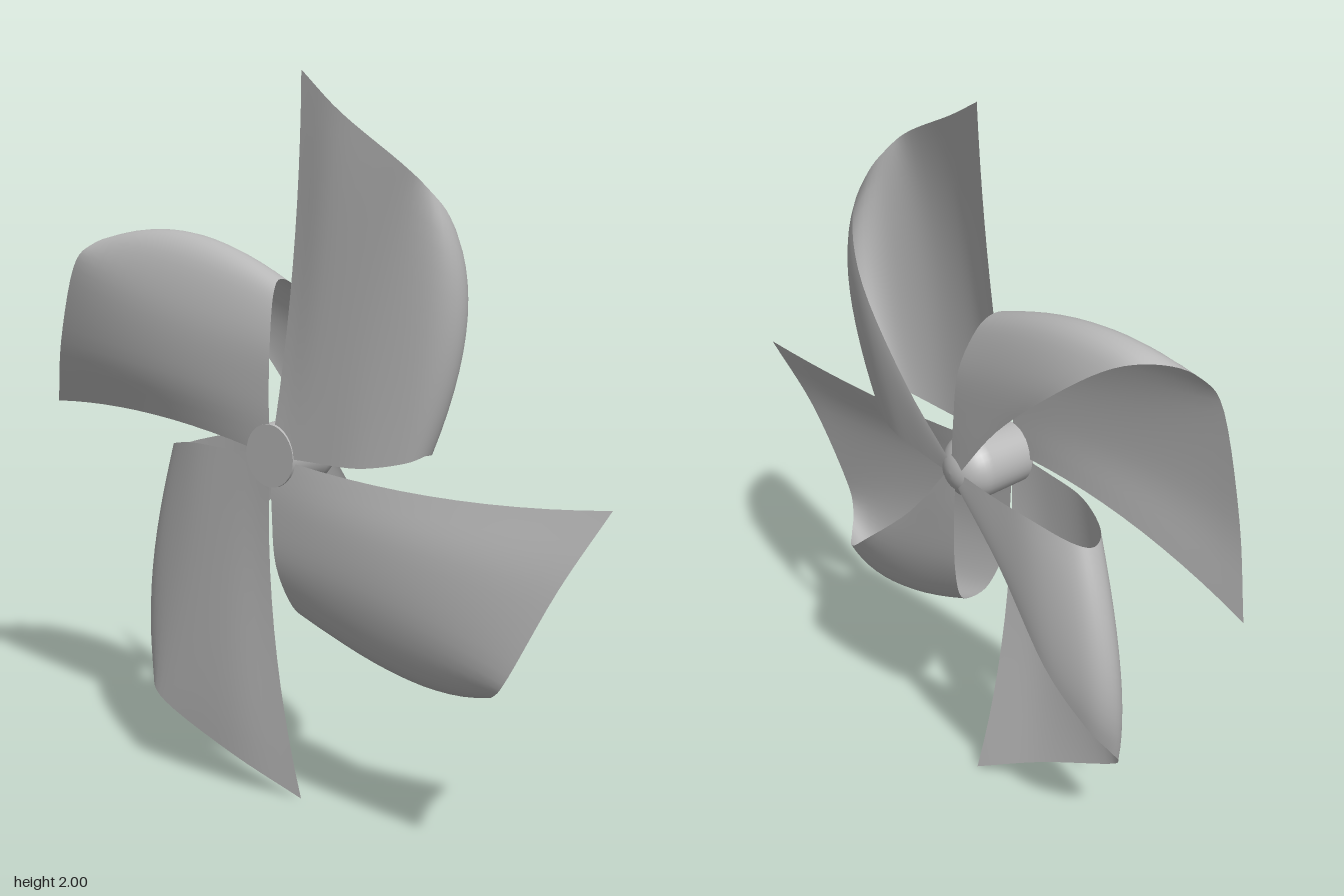
import * as THREE from 'three';

// Guide curves of one curled sheet, [x, y, z] from the hub, following the roll
// from its front edge, round the fold and back to the hub.
const INNER = [[0, 0, .1], [.15, .005, .1], [.3, .01, .09], [.42, .035, .05], [.455, .055, 0],
  [.42, .04, -.05], [.3, .01, -.09], [.15, 0, -.1], [0, -.01, -.1]];
const MIDDLE = [[.035, .5, .05], [.18, .5, .088], [.36, .47, .095], [.5, .43, .06], [.55, .4, 0],
  [.51, .34, -.065], [.37, .25, -.105], [.18, .11, -.107], [0, .005, -.102]];
const OUTER = [[0, 1, -.02], [.2, .9, .05], [.43, .79, .09], [.5, .73, .07], [.525, .66, .015],
  [.5, .56, -.055], [.39, .41, -.105], [.2, .19, -.107], [0, .02, -.102]];

const curve = pts => new THREE.CatmullRomCurve3(pts.map(p => new THREE.Vector3(...p)), false, 'catmullrom', 0.5);

// Sheet surface blended quadratically across the three guides
function sheetGeometry(rollSteps = 40, spanSteps = 12) {
  const guides = [INNER, MIDDLE, OUTER].map(curve);
  const geo = new THREE.PlaneGeometry(1, 1, rollSteps, spanSteps);
  const pos = geo.attributes.position, uv = geo.attributes.uv;
  for (let i = 0; i < pos.count; i++) {
    const s = uv.getX(i), t = uv.getY(i);
    const weights = [(1 - t) * (1 - 2 * t), 4 * t * (1 - t), t * (2 * t - 1)];
    const p = new THREE.Vector3();
    guides.forEach((g, k) => p.addScaledVector(g.getPoint(s), weights[k]));
    pos.setXYZ(i, p.x, p.y, p.z);
  }
  geo.computeVertexNormals();
  return geo;
}

export function createModel() {
  const model = new THREE.Group();
  model.name = 'pinwheel';
  const grey = new THREE.MeshStandardMaterial({ color: 0xb8b8b8, side: THREE.DoubleSide });
  grey.name = 'light grey';

  // Four curled blades
  const sheet = sheetGeometry();
  ['top', 'right', 'bottom', 'left'].forEach((side, i) => {
    const blade = new THREE.Mesh(sheet, grey);
    blade.name = side + 'Blade';
    blade.rotation.z = -i * Math.PI / 2;
    blade.position.y = 1;
    model.add(blade);
  });

  // Hub: domed behind, closed by a flat disc in front
  const profile = [];
  for (let i = 0; i <= 10; i++) {
    const a = i / 10 * Math.PI / 2;
    profile.push(new THREE.Vector2(.092 * Math.sin(a), -.03 - .083 * Math.cos(a)));
  }
  profile.push(new THREE.Vector2(.085, .103));
  const hub = new THREE.Mesh(new THREE.LatheGeometry(profile, 32), grey);
  hub.name = 'hub';
  hub.rotation.x = Math.PI / 2;
  hub.position.y = 1;
  model.add(hub);

  const cap = new THREE.Mesh(new THREE.CircleGeometry(.085, 32), grey);
  cap.name = 'hubCap';
  cap.position.set(0, 1, .103);
  model.add(cap);
  return model;
}
